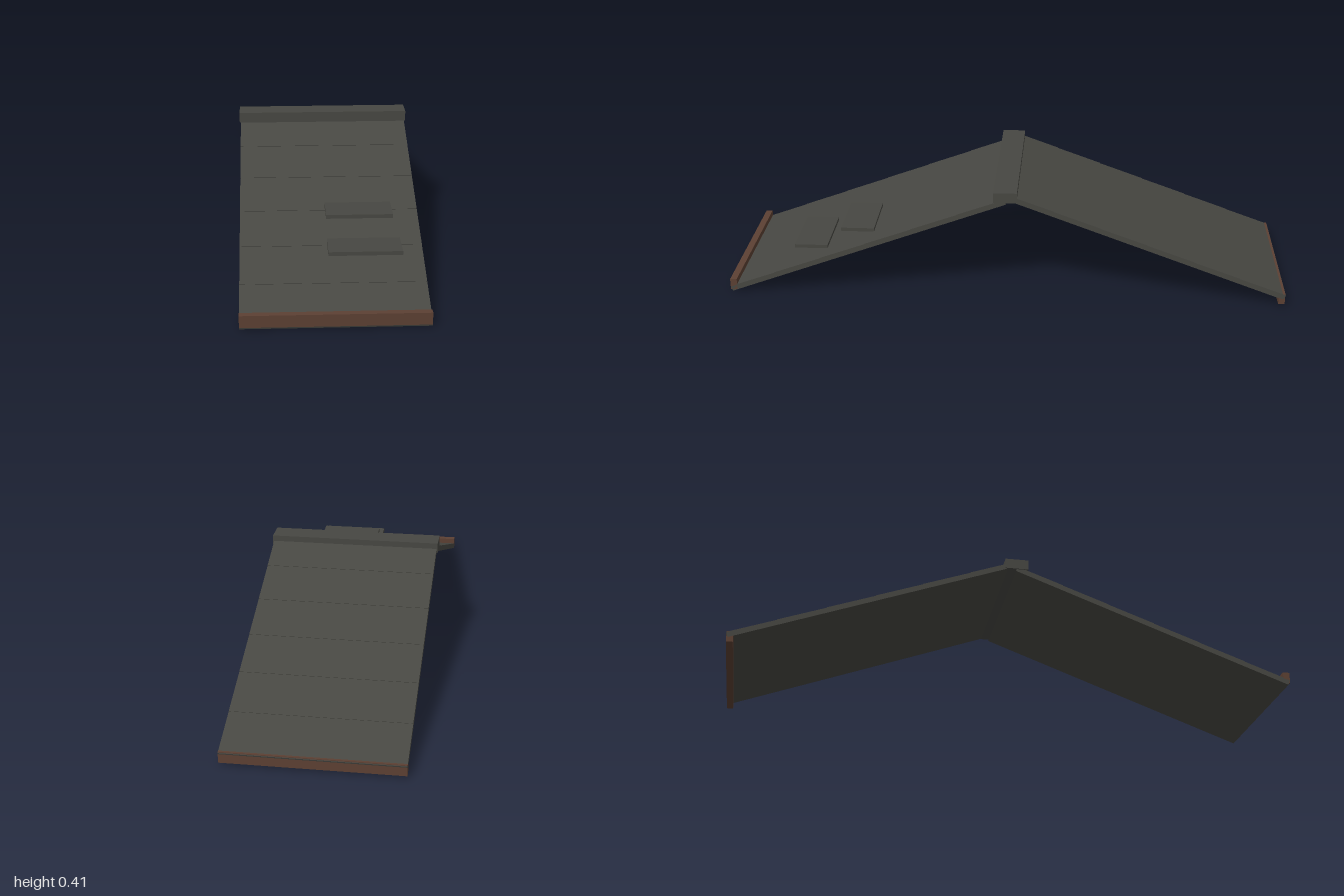
import * as THREE from 'three';

const roofGrey = new THREE.MeshStandardMaterial({ name: 'roofGrey', color: 0x474742 });
const timberBrown = new THREE.MeshStandardMaterial({ name: 'timberBrown', color: 0x5c4033 });

// Box given by its x, y and z ranges
function block(name, material, [x0, x1], [y0, y1], [z0, z1]) {
  const mesh = new THREE.Mesh(new THREE.BoxGeometry(x1 - x0, y1 - y0, z1 - z0), material);
  mesh.name = name;
  mesh.position.set((x0 + x1) / 2, (y0 + y1) / 2, (z0 + z1) / 2);
  return mesh;
}

// Pitched panel between ridge and eave, given as [z, y] on its centre line
function slope(name, ridge, eave) {
  const group = new THREE.Group();
  group.name = name;
  const dz = eave[0] - ridge[0], dy = eave[1] - ridge[1];
  const length = Math.hypot(dz, dy);
  const side = Math.sign(dz);
  group.position.set(0, (ridge[1] + eave[1]) / 2, (ridge[0] + eave[0]) / 2);
  group.rotation.x = side * Math.atan2(-dy, Math.abs(dz));

  const deck = new THREE.Mesh(new THREE.BoxGeometry(0.6, 0.018, length), roofGrey);
  deck.name = 'deck';
  group.add(deck);

  // Six thin courses, each lifted a hair at its lower edge
  const rows = 6, step = length / rows;
  for (let i = 0; i < rows; i++) {
    const course = new THREE.Mesh(new THREE.BoxGeometry(0.6, 0.003, step), roofGrey);
    course.name = 'course' + (i + 1);
    course.position.set(0, 0.0088, side * (-length / 2 + step * (i + 0.5)));
    course.rotation.x = -side * 0.008;
    group.add(course);
  }
  return group;
}

export function createModel() {
  const model = new THREE.Group();
  model.name = 'gableRoof';

  // Two slopes; the back one sits slightly higher
  model.add(slope('frontSlope', [0, 0.381], [0.996, 0.011]));
  model.add(slope('backSlope', [0, 0.401], [-0.996, 0.035]));

  // Ridge cap
  model.add(block('ridgeCap', roofGrey, [-0.304, 0.304], [0.38, 0.417], [-0.042, 0.042]));

  // Eave boards
  model.add(block('frontFascia', timberBrown, [-0.3, 0.3], [0.01, 0.05], [0.976, 1]));
  model.add(block('backFascia', timberBrown, [-0.3, 0.3], [0.01, 0.049], [-0.998, -0.975]));

  // Loose flat slates on the front slope
  model.add(block('upperSlate', roofGrey, [-0.013, 0.21], [0.212, 0.225], [0.48, 0.6]));
  model.add(block('lowerSlate', roofGrey, [-0.013, 0.228], [0.149, 0.162], [0.65, 0.77]));

  return model;
}
